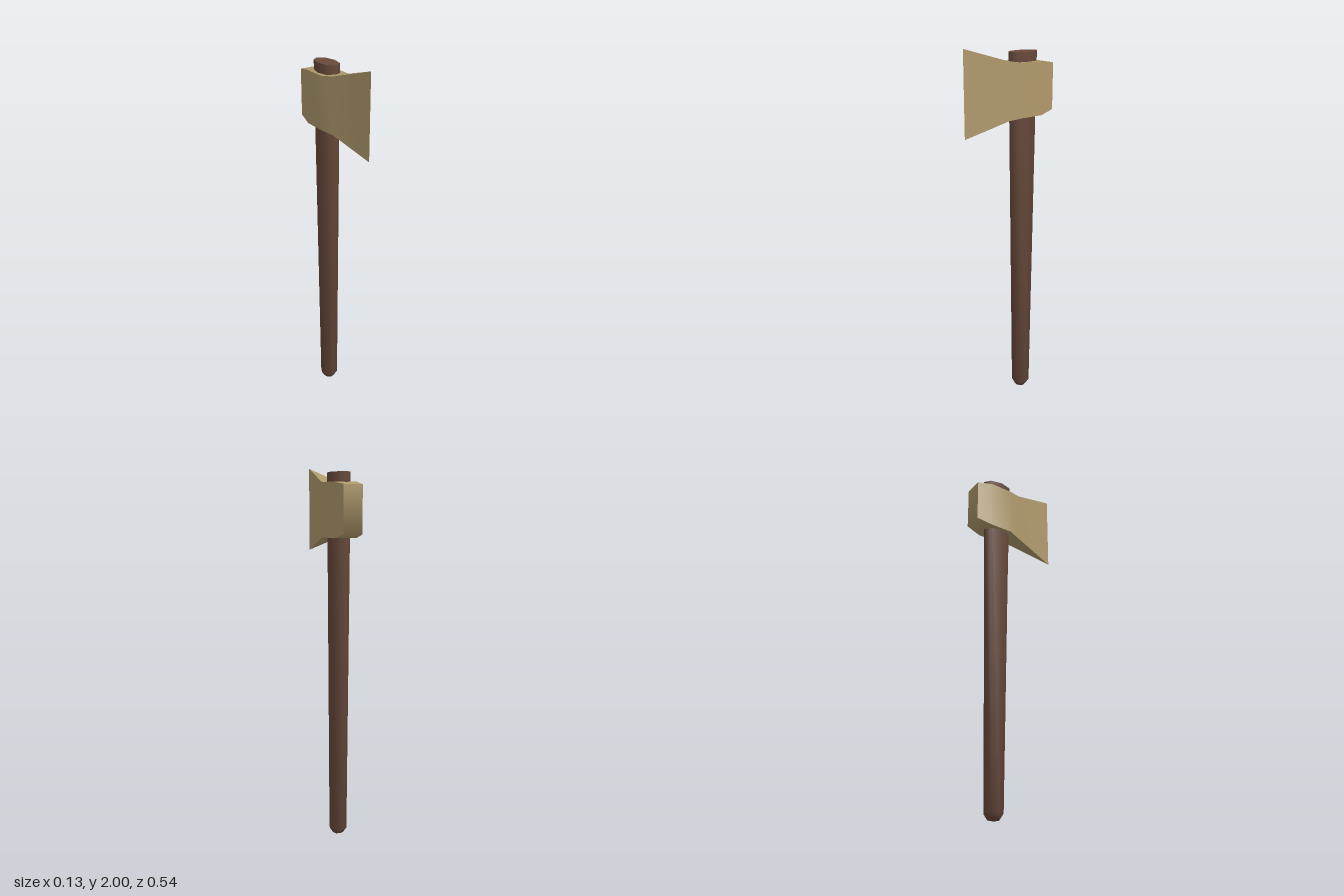
import * as THREE from 'three';
import { toCreasedNormals } from 'three/addons/utils/BufferGeometryUtils.js';

const HANDLE_Z = -0.107;

// Eight-sided handle: constant width, growing deeper towards the top
function handleGeometry() {
  const profile = [[0, 0], [0.03, 0], [0.05, 0.03], [0.05, 1.965], [0, 1.965]]
    .map(([r, y]) => new THREE.Vector2(r, y));
  const geometry = new THREE.LatheGeometry(profile, 8);
  const position = geometry.attributes.position;
  for (let i = 0; i < position.count; i++) {
    const depth = 1 + 0.84 * position.getY(i) / 1.965;
    position.setZ(i, position.getZ(i) * depth);
  }
  return toCreasedNormals(geometry, 1.35);
}

// Axe head: rectangular sections from the poll (back) to the cutting edge (front)
function headGeometry() {
  // z, half width, bottom, top
  const sections = [
    [-0.27, 0.053, 1.655, 1.9],
    [-0.183, 0.067, 1.635, 1.915],
    [-0.053, 0.067, 1.635, 1.915],
    [0.017, 0.045, 1.625, 1.925],
    [0.267, 0, 1.555, 2],
  ];
  const rings = sections.map(([z, w, y0, y1]) => [[-w, y0, z], [w, y0, z], [w, y1, z], [-w, y1, z]]);
  const points = [];
  const quad = (a, b, c, d) => points.push(...a, ...b, ...c, ...a, ...c, ...d);

  const back = rings[0];
  quad(back[0], back[3], back[2], back[1]);
  for (let i = 0; i < rings.length - 1; i++) {
    const a = rings[i], b = rings[i + 1];
    for (let j = 0; j < 4; j++) {
      const k = (j + 1) % 4;
      quad(a[j], a[k], b[k], b[j]);
    }
  }
  const geometry = new THREE.BufferGeometry();
  geometry.setAttribute('position', new THREE.Float32BufferAttribute(points, 3));
  return toCreasedNormals(geometry, 1.38);
}

export function createModel() {
  const wood = new THREE.MeshStandardMaterial({ color: 0x694a3b });
  wood.name = 'brown wood';
  const metal = new THREE.MeshStandardMaterial({ color: 0xb09a6c });
  metal.name = 'tan metal';

  const axe = new THREE.Group();
  axe.name = 'axe';

  const handle = new THREE.Mesh(handleGeometry(), wood);
  handle.name = 'handle';
  handle.position.z = HANDLE_Z;

  const head = new THREE.Mesh(headGeometry(), metal);
  head.name = 'axeHead';

  axe.add(handle, head);
  return axe;
}
